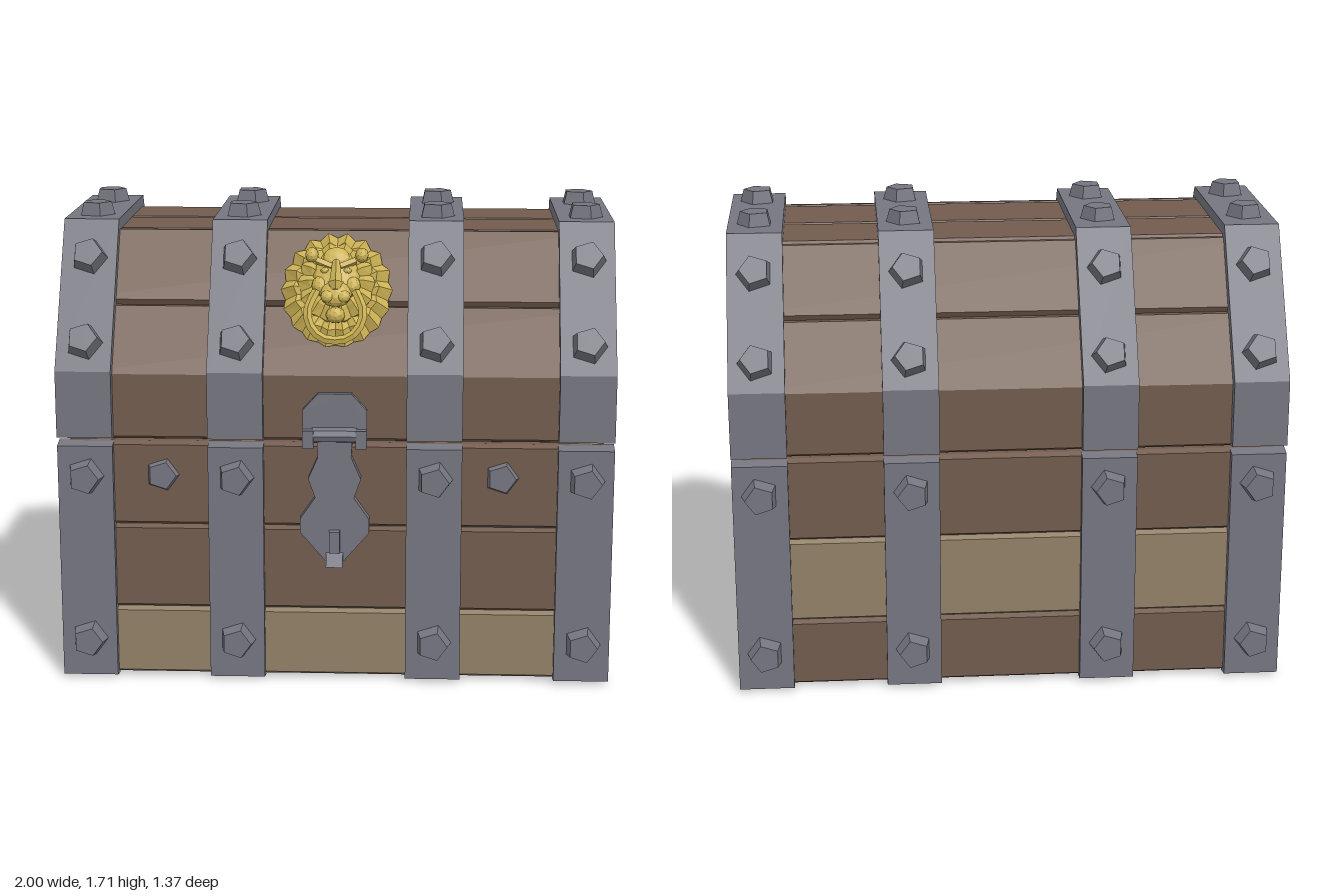
import * as THREE from 'three';

const mat = (name, color) => Object.assign(new THREE.MeshStandardMaterial({ color }), { name });

export function createModel() {
  const brown = mat('brownWood', 0x715b4d);
  const tan = mat('tanWood', 0x917f66);
  const metal = mat('ironGrey', 0x74757f);
  const gold = mat('gold', 0xccb254);

  const root = new THREE.Group();
  root.name = 'treasureChest';

  // Faceted normals for the low-poly look
  const flat = (g) => {
    const f = g.index ? g.toNonIndexed() : g;
    f.computeVertexNormals();
    return f;
  };
  const add = (parent, name, geo, material, x = 0, y = 0, z = 0) => {
    const m = new THREE.Mesh(flat(geo), material);
    m.name = name;
    m.position.set(x, y, z);
    parent.add(m);
    return m;
  };
  const extrude = (pts, depth) => new THREE.ExtrudeGeometry(
    new THREE.Shape(pts.map((p) => new THREE.Vector2(p[0], p[1]))), { depth, bevelEnabled: false });
  // Outline in (z, y), extruded along x and centred
  const alongX = (pts, width) => extrude(pts, width).translate(0, 0, -width / 2).rotateY(-Math.PI / 2);
  // Outline with its mirror image across the first coordinate
  const mirrored = (half) => [...half, ...half.slice().reverse().map(([u, v]) => [-u, v])];

  // Plank cross-section from a to b, outside on the left of a->b seen with u to the left;
  // chamfered at the start and/or end
  const plankSection = (a, b, ca, cb, side) => {
    const len = Math.hypot(b[0] - a[0], b[1] - a[1]);
    const t = [(b[0] - a[0]) / len, (b[1] - a[1]) / len];
    const n = [t[1] * side, -t[0] * side];
    const at = (p, along, inward) => [p[0] + t[0] * along - n[0] * inward, p[1] + t[1] * along - n[1] * inward];
    const pts = [at(a, 0, 0.05)];
    if (ca) pts.push(at(a, 0, 0.02));
    pts.push(at(a, ca ? 0.012 : 0, 0), at(b, cb ? -0.012 : 0, 0));
    if (cb) pts.push(at(b, 0, 0.02));
    pts.push(at(b, 0, 0.05));
    return pts;
  };

  // Inner wooden core of base and lid
  add(root, 'baseCore', alongX([[0.565, 0.01], [0.565, 0.89], [-0.565, 0.89], [-0.565, 0.01]], 1.9), brown);
  const lidInner = mirrored([[0.565, 0.9], [0.565, 1.13], [0.285, 1.585]]);
  add(root, 'lidCore', alongX(lidInner, 1.9), brown);
  add(root, 'lidSeam', new THREE.BoxGeometry(1.88, 0.03, 1.1), brown, 0, 0.895, 0);

  // Base planks: front, back and both ends
  const levels = [[0.01, 0.265], [0.265, 0.58], [0.58, 0.892]];
  const paint = {
    front: [tan, brown, brown], back: [brown, tan, brown],
    left: [brown, brown, tan], right: [brown, tan, brown],
  };
  levels.forEach(([lo, hi], i) => {
    for (const s of [1, -1]) {
      add(root, s > 0 ? 'frontPlank' : 'backPlank',
        alongX(plankSection([0.6 * s, lo], [0.6 * s, hi], true, true, s), 1.92),
        (s > 0 ? paint.front : paint.back)[i]);
      add(root, 'endPlank',
        extrude(plankSection([0.97 * s, lo], [0.97 * s, hi], true, true, s), 1.15).translate(0, 0, -0.575),
        (s > 0 ? paint.left : paint.right)[i]);
    }
  });

  // Lid planks following the roof, front to back; some fold over a corner
  const F = 0.6, R = 0.31, E = 1.14, T = 1.62, G = 1.375, gz = 0.458;
  const lidPlanks = [
    [[F, 0.9], [F, E], true, false], [[F, E], [gz, G], false, true],
    [[gz, G], [R, T], true, false], [[R, T], [0.285, T], false, true],
    [[0.285, T], [-0.02, T], true, true], [[-0.02, T], [-0.305, T], true, true],
    [[-R, T], [-gz, G], true, true],
    [[-gz, G], [-F, E], true, false], [[-F, E], [-F, 0.9], false, true],
  ];
  for (const [a, b, ca, cb] of lidPlanks) add(root, 'lidPlank', alongX(plankSection(a, b, ca, cb, 1), 1.92), brown);

  // Lid end panels
  const lidEnd = mirrored([[0.575, 0.9], [0.575, 1.14], [0.295, 1.605]]);
  for (const s of [1, -1]) add(root, 'lidEndPanel', alongX(lidEnd, 0.04), tan, 0.95 * s, 0, 0);

  // Five-sided stud standing on a surface tilted by angle from the front
  const stud = (x, y, z, angle, h = 0.055, r = 0.07) => {
    const g = new THREE.CylinderGeometry(r * 0.78, r, h + 0.01, 5)
      .rotateX(Math.PI / 2).rotateZ(Math.PI / 2).translate(0, 0, h / 2 - 0.005);
    add(root, 'stud', g, metal, x, y, z).rotation.x = -angle;
  };

  // Iron straps with their studs
  const slope = 0.539;
  const arch = [
    ...mirrored([[0.57, 0.9], [0.635, 0.912], [0.635, 1.155], [0.33, 1.66]]),
    [-0.57, 1.14], [-0.29, 1.6], [0.29, 1.6], [0.57, 1.14],
  ];
  const upright = [[0.57, 0], [0.63, 0.012], [0.63, 0.88], [0.57, 0.893]];
  for (const x of [-0.9, -0.357, 0.357, 0.9]) {
    add(root, 'lidStrap', alongX(arch, 0.2), metal, x);
    for (const s of [1, -1]) {
      add(root, 'baseStrap', alongX(upright.map(([z, y]) => [z * s, y]), 0.2), metal, x);
      const tilt = (a) => (s > 0 ? a : Math.PI - a);
      for (const y of [0.155, 0.77]) stud(x, y, 0.63 * s, tilt(0));
      stud(x, 1.25, 0.578 * s, tilt(slope));
      stud(x, 1.53, 0.408 * s, tilt(slope));
      stud(x, 1.66, s > 0 ? 0.2 : -0.18, Math.PI / 2, 0.047);
    }
  }
  stud(-0.625, 0.77, 0.6, 0, 0.02, 0.067);
  stud(0.6, 0.77, 0.6, 0, 0.02, 0.067);

  // Hasp: upper plate, hinge pin, shaped drop plate, staple and lip
  const latch = new THREE.Group();
  latch.name = 'latch';
  root.add(latch);
  add(latch, 'upperPlate', extrude(mirrored([[0.115, 0.9], [0.115, 1.02], [0.06, 1.08]]), 0.03), metal, 0, 0, 0.595);
  add(latch, 'dropPlate', extrude(mirrored([[0.03, 0.46], [0.125, 0.57], [0.125, 0.62], [0.07, 0.7],
    [0.095, 0.77], [0.06, 0.85], [0.065, 0.94]]), 0.045), metal, 0, 0, 0.595);
  add(latch, 'hingePin', new THREE.CylinderGeometry(0.028, 0.028, 0.16, 8).rotateZ(Math.PI / 2), metal, 0, 0.93, 0.628);
  for (const s of [1, -1]) add(latch, 'hingeKnuckle', new THREE.BoxGeometry(0.04, 0.065, 0.06), metal, 0.095 * s, 0.918, 0.625);
  add(latch, 'staple', new THREE.BoxGeometry(0.038, 0.08, 0.035), metal, 0, 0.54, 0.652);
  add(latch, 'lip', alongX([[0.635, 0.5], [0.685, 0.452], [0.655, 0.45], [0.605, 0.48]], 0.06), metal);

  // Lion-head knocker, lying on the front slope of the lid
  const lion = new THREE.Group();
  lion.name = 'lionKnocker';
  lion.position.set(0, 1.415, 0.434);
  lion.rotation.x = -slope;
  root.add(lion);

  // Pleated mane: rings of alternating ridges and valleys, closed at the centre
  const mane = (rows, n) => {
    const pos = [], idx = [];
    rows.forEach(([r, h]) => {
      for (let i = 0; i < n; i++) {
        const a = (i / n) * Math.PI * 2, low = i % 2;
        const rr = r * (low ? 0.93 : 1);
        pos.push(Math.cos(a) * rr, Math.sin(a) * rr * 1.1, h - (low && h > 0 ? 0.016 : 0));
      }
    });
    for (let k = 0; k < rows.length - 1; k++) {
      for (let i = 0; i < n; i++) {
        const a = k * n + i, b = k * n + ((i + 1) % n);
        idx.push(a, b, b + n, a, b + n, a + n);
      }
    }
    const g = new THREE.BufferGeometry();
    g.setAttribute('position', new THREE.Float32BufferAttribute(pos, 3));
    g.setIndex(idx);
    return g;
  };
  add(lion, 'outerMane', mane([[0.19, -0.01], [0.202, 0.022], [0.155, 0.058], [0.11, 0.045], [0, 0.045]], 36), gold);
  add(lion, 'innerMane', mane([[0.135, 0.03], [0.14, 0.06], [0.1, 0.08], [0, 0.08]], 28), gold, 0, 0.015, 0);

  // Face
  const blob = (name, x, y, z, sx, sy, sz) => {
    add(lion, name, new THREE.IcosahedronGeometry(1, 1).scale(sx, sy, sz), gold, x, y, z);
  };
  blob('head', 0, 0.03, 0.065, 0.085, 0.11, 0.04);
  blob('forehead', 0, 0.095, 0.085, 0.05, 0.045, 0.022);
  blob('muzzle', 0, -0.04, 0.085, 0.058, 0.05, 0.035);
  blob('chin', 0, -0.115, 0.07, 0.035, 0.03, 0.03);
  add(lion, 'noseBridge', new THREE.CylinderGeometry(0.014, 0.026, 0.1, 5), gold, 0, 0.03, 0.104);
  add(lion, 'nose', new THREE.CylinderGeometry(0.03, 0.014, 0.028, 5), gold, 0, -0.022, 0.114);
  for (const s of [1, -1]) {
    add(lion, 'brow', new THREE.BoxGeometry(0.06, 0.018, 0.024), gold, 0.043 * s, 0.07, 0.1).rotation.z = 0.4 * s;
    blob('eye', 0.04 * s, 0.045, 0.094, 0.016, 0.012, 0.012);
    blob('cheek', 0.058 * s, -0.005, 0.075, 0.03, 0.035, 0.03);
    blob('whiskerPad', 0.027 * s, -0.055, 0.1, 0.027, 0.024, 0.02);
    blob('ear', 0.09 * s, 0.115, 0.07, 0.024, 0.028, 0.025);
  }

  // Knocker ring held in the mouth
  const path = new THREE.CatmullRomCurve3([[-0.07, -0.03, 0.085], [-0.098, -0.1, 0.09], [-0.092, -0.155, 0.085],
    [-0.045, -0.205, 0.075], [0.045, -0.205, 0.075], [0.092, -0.155, 0.085], [0.098, -0.1, 0.09], [0.07, -0.03, 0.085],
  ].map((p) => new THREE.Vector3(...p)));
  add(lion, 'knockerRing', new THREE.TubeGeometry(path, 14, 0.016, 5), gold);

  return root;
}
